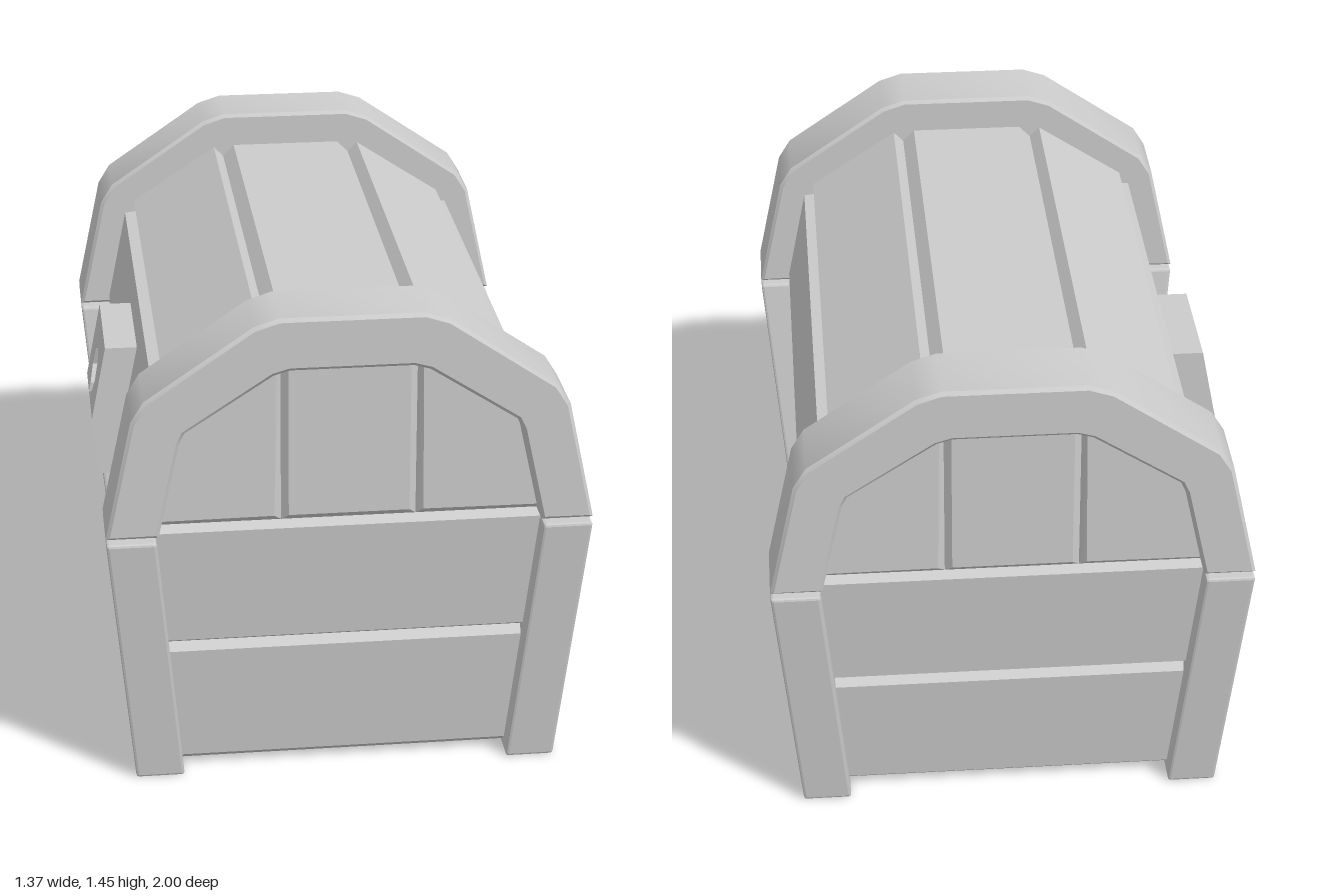
import * as THREE from 'three';
import { toCreasedNormals } from 'three/addons/utils/BufferGeometryUtils.js';
import { RoundedBoxGeometry } from 'three/addons/geometries/RoundedBoxGeometry.js';

const material = new THREE.MeshStandardMaterial({ color: 0xcccccc });

// Move every vertex by a rule, then rebuild normals with a crease angle
function reshape(geometry, rule, crease = 0.2) {
  const pos = geometry.attributes.position;
  const v = new THREE.Vector3();
  for (let i = 0; i < pos.count; i++) {
    rule(v.fromBufferAttribute(pos, i));
    pos.setXYZ(i, v.x, v.y, v.z);
  }
  return toCreasedNormals(geometry, crease);
}

const shapeOf = (points) => new THREE.Shape(points.map(([x, y]) => new THREE.Vector2(x, y)));
const mirrored = (half) => [...half, ...half.map(([x, y]) => [-x, y]).reverse()];

function extrude(points, depth, bevel = 0) {
  return new THREE.ExtrudeGeometry(shapeOf(points), {
    depth: depth - 2 * bevel, bevelEnabled: bevel > 0, bevelSegments: 1,
    bevelSize: bevel, bevelThickness: bevel, bevelOffset: -bevel,
  }).translate(0, 0, bevel);
}

export function createModel() {
  const chest = new THREE.Group();
  chest.name = 'chest';
  const add = (name, geometry, parent = chest) => {
    const mesh = new THREE.Mesh(geometry, material);
    mesh.name = name;
    parent.add(mesh);
    return mesh;
  };
  const group = (name) => {
    const g = new THREE.Group();
    g.name = name;
    chest.add(g);
    return g;
  };

  // Outward lean of the lower half
  const leanX = 0.07 / 0.8, leanZ = 0.095 / 0.8;

  // Body: flared box with V grooves between planks, rows are [height, inset]
  const rows = [[0.015, 0.02], [0.035, 0], [0.40, 0], [0.42, 0.03], [0.44, 0], [0.80, 0], [0.82, 0.03]];
  const n = rows.length - 1;
  add('plankedBody', reshape(new THREE.BoxGeometry(2, n, 2, 1, n, 1), (v) => {
    const [y, inset] = rows[Math.round(v.y + n / 2)];
    v.set(Math.sign(v.x) * (0.52 + leanX * y - inset), y, Math.sign(v.z) * (0.845 + leanZ * y - inset));
  }));

  // Four leaning corner posts
  const posts = group('cornerPosts');
  for (const sx of [-1, 1]) for (const sz of [-1, 1]) {
    const post = new RoundedBoxGeometry(0.14, 0.8, 0.22, 1, 0.008).translate(sx * 0.543, 0.4, sz * 0.797);
    add('cornerPost', reshape(post, (v) => {
      v.x += sx * leanX * v.y;
      v.z += sz * leanZ * v.y;
    }), posts);
  }

  // Lid: faceted vault with grooves running along its length
  const lid = group('lid');
  const vault = mirrored([
    [0.56, 0.82], [0.59, 0.84], [0.53, 1.13], [0.487, 1.135], [0.50, 1.17],
    [0.235, 1.345], [0.205, 1.315], [0.17, 1.35],
  ]);
  add('lidPlanks', toCreasedNormals(extrude(vault, 1.82).translate(0, 0, -0.91), 0.2), lid);

  // Three upright bevelled boards at each end of the lid
  const sideBoard = [[0.19, 0.82], [0.56, 0.82], [0.50, 1.13], [0.19, 1.33]];
  const boards = [
    sideBoard,
    mirrored([[0.19, 0.82], [0.19, 1.335]]),
    sideBoard.map(([x, y]) => [-x, y]).reverse(),
  ];
  for (const turn of [0, Math.PI]) for (const board of boards) {
    const geometry = extrude(board, 0.08, 0.02).translate(0, 0, 0.86);
    add('lidEndBoard', toCreasedNormals(geometry, 0.2), lid).rotation.y = turn;
  }

  // Thick arches around both ends of the lid
  const outer = mirrored([[0.683, 0.815], [0.607, 1.165], [0.57, 1.225], [0.27, 1.43], [0.2, 1.453]]);
  const inner = mirrored([[0.537, 0.815], [0.475, 1.095], [0.46, 1.127], [0.215, 1.287], [0.17, 1.3]]);
  const arch = toCreasedNormals(extrude([...outer, ...inner.reverse()], 0.22, 0.01), 0.5);
  for (const z of [-1, 0.78]) add('lidArch', arch, lid).position.z = z;

  // Lock plate in two leaning halves, with the keyhole cut through both
  const lock = group('lock');
  const keyRound = Array.from({ length: 7 }, (_, i) => {
    const a = -Math.PI * 2 / 3 - i * Math.PI * 5 / 18;
    return [0.07 * Math.cos(a), 0.91 + 0.07 * Math.sin(a)];
  });
  const upper = [[0.18, 0.82], [0.18, 1.05], [-0.18, 1.05], [-0.18, 0.82], [-0.035, 0.82], ...keyRound, [0.035, 0.82]];
  const lower = mirrored([[0.18, 0.64], [0.18, 0.82], [0.035, 0.82], [0.09, 0.70]]);
  const lockHalf = (name, points, slope) => add(name, reshape(
    extrude(points, 0.1).rotateY(-Math.PI / 2),
    (v) => { v.x -= 0.588 + slope * (v.y - 0.82); }), lock);
  lockHalf('upperLockPlate', upper, -0.2);
  lockHalf('lowerLockPlate', lower, 0.08);

  return chest;
}
